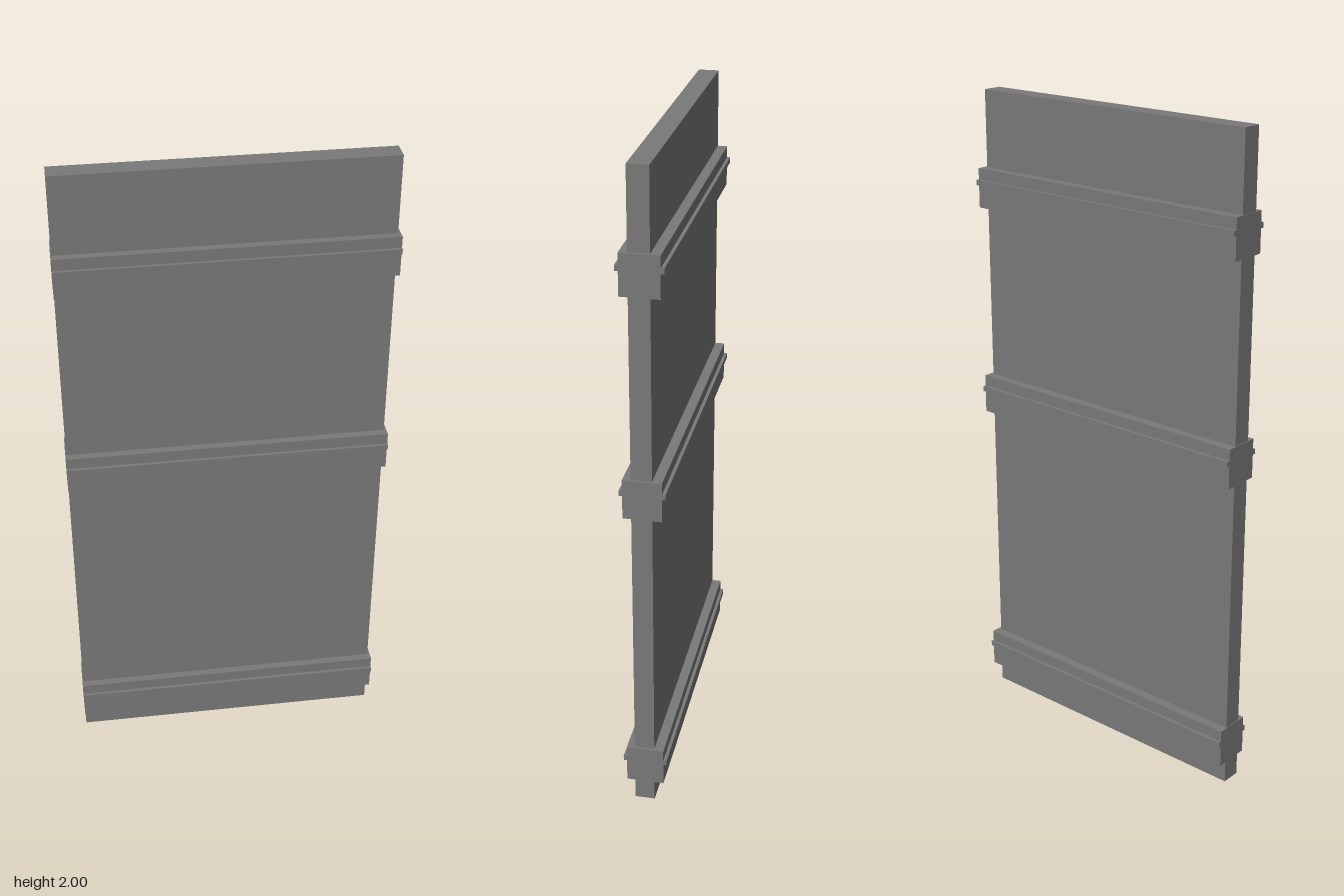
import * as THREE from 'three';

export function createModel() {
  const model = new THREE.Group();
  const material = new THREE.MeshStandardMaterial({ color: 0x797979 });

  const addBox = (parent, name, size, position) => {
    const mesh = new THREE.Mesh(new THREE.BoxGeometry(...size), material);
    mesh.name = name;
    mesh.position.set(...position);
    parent.add(mesh);
  };

  // Upright slab, a touch narrower than the bands
  addBox(model, 'doorPanel', [0.952, 2, 0.06], [-0.003, 1, 0.003]);

  // Bands wrapping the slab, each with a thin ridge above its middle on both faces
  for (const [name, y] of [['lowerBand', 0.131], ['middleBand', 1.048], ['upperBand', 1.708]]) {
    const band = new THREE.Group();
    band.name = name;
    band.position.y = y;
    addBox(band, 'strap', [0.962, 0.12, 0.112], [0, 0, 0]);
    for (const side of [1, -1]) {
      addBox(band, side > 0 ? 'frontRidge' : 'backRidge', [0.962, 0.016, 0.016], [0, 0.018, side * 0.058]);
    }
    model.add(band);
  }
  return model;
}
